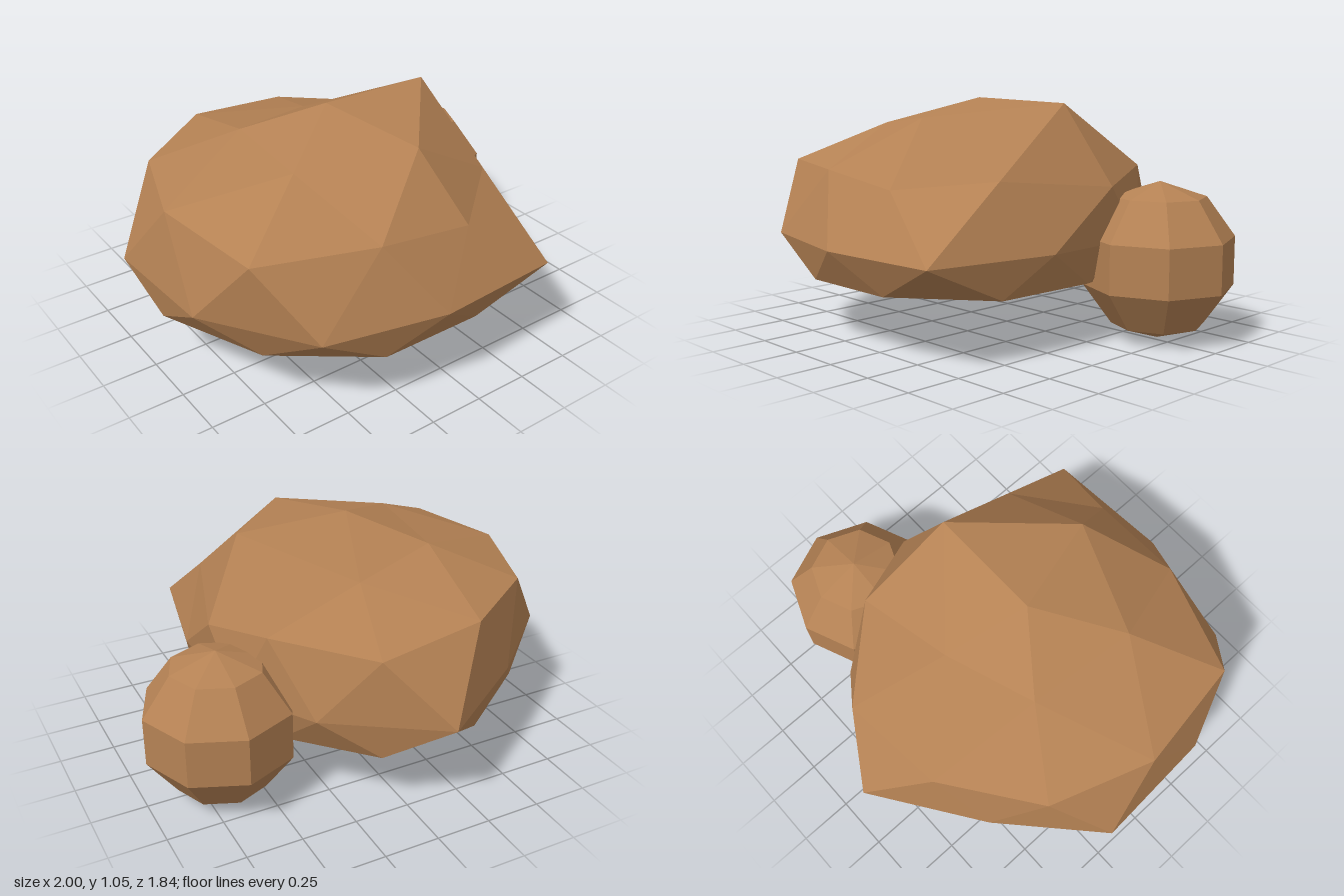
import * as THREE from 'three';

const clay = new THREE.MeshStandardMaterial({ color: 0xb58254, flatShading: true });
clay.name = 'clay brown';

// Faceted boulder: a peak, a five-point crown and three ten-point rings, stepping round from +x towards +z
function boulderGeometry() {
  const peak = [-0.12, 1.05, 0.06];
  const crown = [
    [0.41, 1.04, 0.06], [0.02, 0.98, 0.52], [-0.47, 0.93, 0.33],
    [-0.42, 0.92, -0.17], [0, 0.87, -0.3],
  ];
  const shoulder = [
    [0.6, 0.69, -0.04], [0.44, 0.74, 0.47], [0.1, 0.7, 0.76], [-0.34, 0.75, 0.75], [-0.84, 0.75, 0.58],
    [-0.92, 0.78, 0.06], [-0.76, 0.77, -0.4], [-0.36, 0.78, -0.69], [0.13, 0.73, -0.73], [0.47, 0.75, -0.37],
  ];
  const atHeight = (y, ring) => ring.map(([x, z]) => [x, y, z]);
  const waist = atHeight(0.44, [
    [0.59, 0.3], [0.47, 0.88], [-0.12, 0.92], [-0.66, 0.8], [-0.97, 0.34],
    [-1, -0.22], [-0.6, -0.59], [-0.12, -0.92], [0.36, -0.6], [0.57, -0.25],
  ]);
  const base = atHeight(0.27, [
    [0.51, 0.52], [0.12, 0.82], [-0.36, 0.82], [-0.76, 0.52], [-0.96, 0.04],
    [-0.76, -0.4], [-0.36, -0.7], [0.12, -0.73], [0.43, -0.4], [0.53, 0.03],
  ]);

  const positions = [];
  const face = (...corners) => corners.forEach((p) => positions.push(...p));

  // Top cap: each crown point sits above every second shoulder point
  for (let k = 0; k < 5; k++) {
    const a = crown[k], b = crown[(k + 1) % 5];
    const s0 = shoulder[2 * k], s1 = shoulder[2 * k + 1], s2 = shoulder[(2 * k + 2) % 10];
    face(peak, b, a);
    face(a, b, s1);
    face(a, s1, s0);
    face(b, s2, s1);
  }
  // Zigzag bands between staggered rings
  for (const [upper, lower] of [[shoulder, waist], [waist, base]]) {
    for (let i = 0; i < 10; i++) {
      const j = (i + 1) % 10;
      face(upper[i], upper[j], lower[i]);
      face(upper[j], lower[j], lower[i]);
    }
  }
  // Flat underside
  for (let i = 0; i < 10; i++) face([-0.2, 0.27, 0], base[i], base[(i + 1) % 10]);

  const geometry = new THREE.BufferGeometry();
  geometry.setAttribute('position', new THREE.Float32BufferAttribute(positions, 3));
  geometry.computeVertexNormals();
  return geometry;
}

export function createModel() {
  const model = new THREE.Group();
  model.name = 'rocks';

  const boulder = new THREE.Mesh(boulderGeometry(), clay);
  boulder.name = 'boulder';

  // Small round stone tucked against the boulder's side
  const pebble = new THREE.Mesh(new THREE.SphereGeometry(0.35, 8, 5), clay);
  pebble.name = 'pebble';
  pebble.position.set(0.665, 0.35, -0.285);

  model.add(boulder, pebble);
  return model;
}
